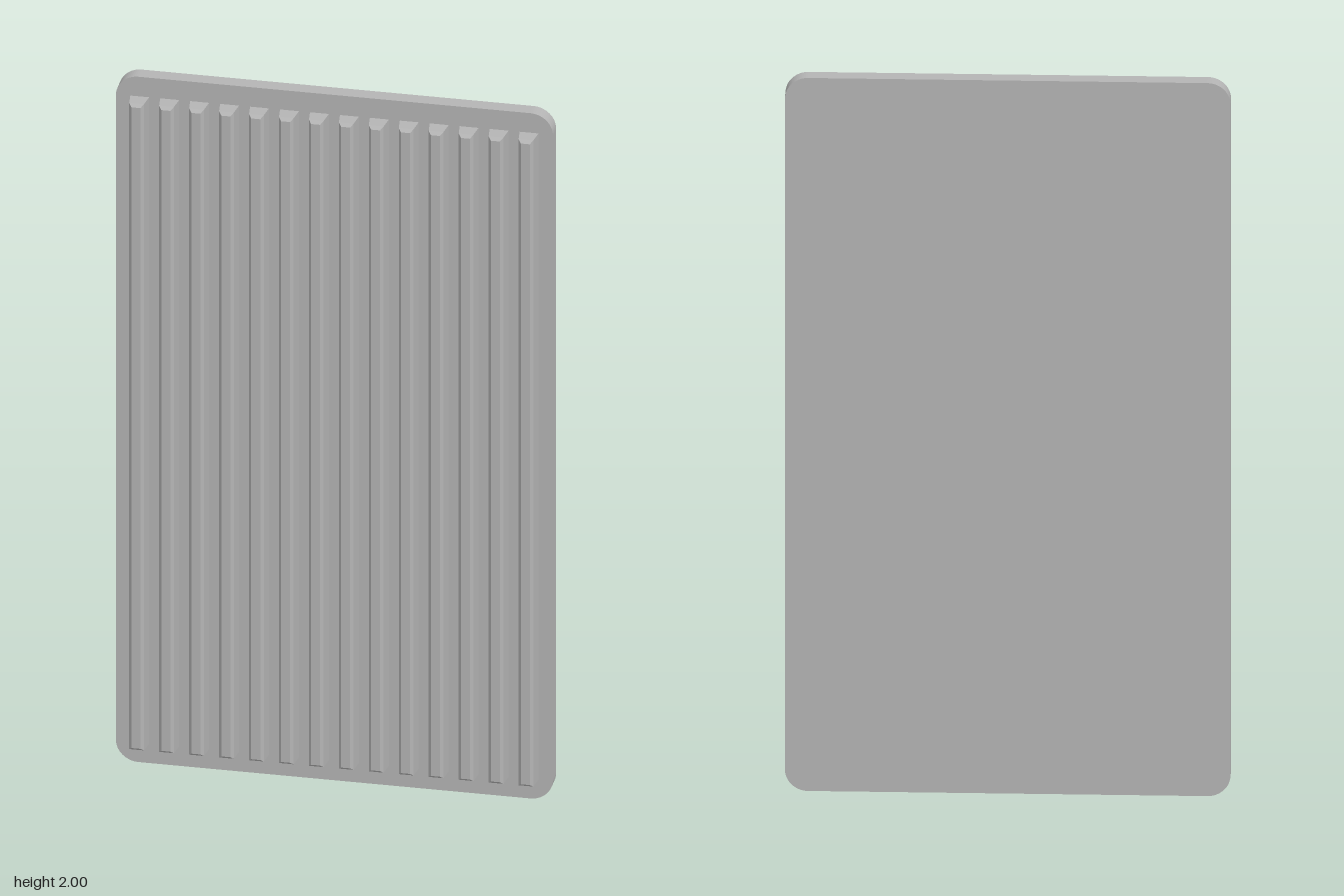
import * as THREE from 'three';

const HALF_W = 0.578, RADIUS = 0.06, BACK = -0.0455, FACE = -0.004;

// Rounded rectangular backing plate
function plateGeometry() {
  const w = HALF_W, r = RADIUS, s = new THREE.Shape();
  s.absarc(w - r, 2 - r, r, 0, Math.PI / 2);
  s.absarc(-w + r, 2 - r, r, Math.PI / 2, Math.PI);
  s.absarc(-w + r, r, r, Math.PI, Math.PI * 1.5);
  s.absarc(w - r, r, r, Math.PI * 1.5, Math.PI * 2);
  s.closePath();
  const g = new THREE.ExtrudeGeometry(s, { depth: FACE - BACK, bevelEnabled: false, curveSegments: 8 });
  return g.translate(0, 0, BACK);
}

// Tapered rib with a chamfered crest, lofted through rectangles [halfX, halfY, z]
function ribGeometry() {
  const sections = [
    [0.025, 0.943, FACE - 0.002],
    [0.025, 0.943, FACE],
    [0.0195, 0.943, 0.037],
    [0.012, 0.935, 0.0455],
  ];
  const pos = [], index = [];
  for (const [x, y, z] of sections) pos.push(-x, -y, z, x, -y, z, x, y, z, -x, y, z);
  for (let k = 0; k < sections.length - 1; k++) {
    for (let i = 0; i < 4; i++) {
      const a = k * 4 + i, b = k * 4 + (i + 1) % 4;
      index.push(a, b, b + 4, a, b + 4, a + 4);
    }
  }
  const t = (sections.length - 1) * 4;
  index.push(t, t + 1, t + 2, t, t + 2, t + 3, 0, 2, 1, 0, 3, 2);
  const g = new THREE.BufferGeometry();
  g.setAttribute('position', new THREE.Float32BufferAttribute(pos, 3));
  g.setIndex(index);
  const flat = g.toNonIndexed();
  flat.computeVertexNormals();
  return flat;
}

export function createModel() {
  const model = new THREE.Group();
  model.name = 'ribbedPanel';
  const grey = new THREE.MeshStandardMaterial({ color: 0xb4b4b4 });
  grey.name = 'grey';

  const plate = new THREE.Mesh(plateGeometry(), grey);
  plate.name = 'backPlate';
  model.add(plate);

  // Evenly spaced vertical ribs
  const ribs = new THREE.Group();
  ribs.name = 'ribs';
  const geo = ribGeometry(), count = 14, step = 0.0792;
  for (let i = 0; i < count; i++) {
    const rib = new THREE.Mesh(geo, grey);
    rib.name = 'rib' + (i + 1);
    rib.position.set((i - (count - 1) / 2) * step, 1, 0);
    ribs.add(rib);
  }
  model.add(ribs);
  return model;
}
